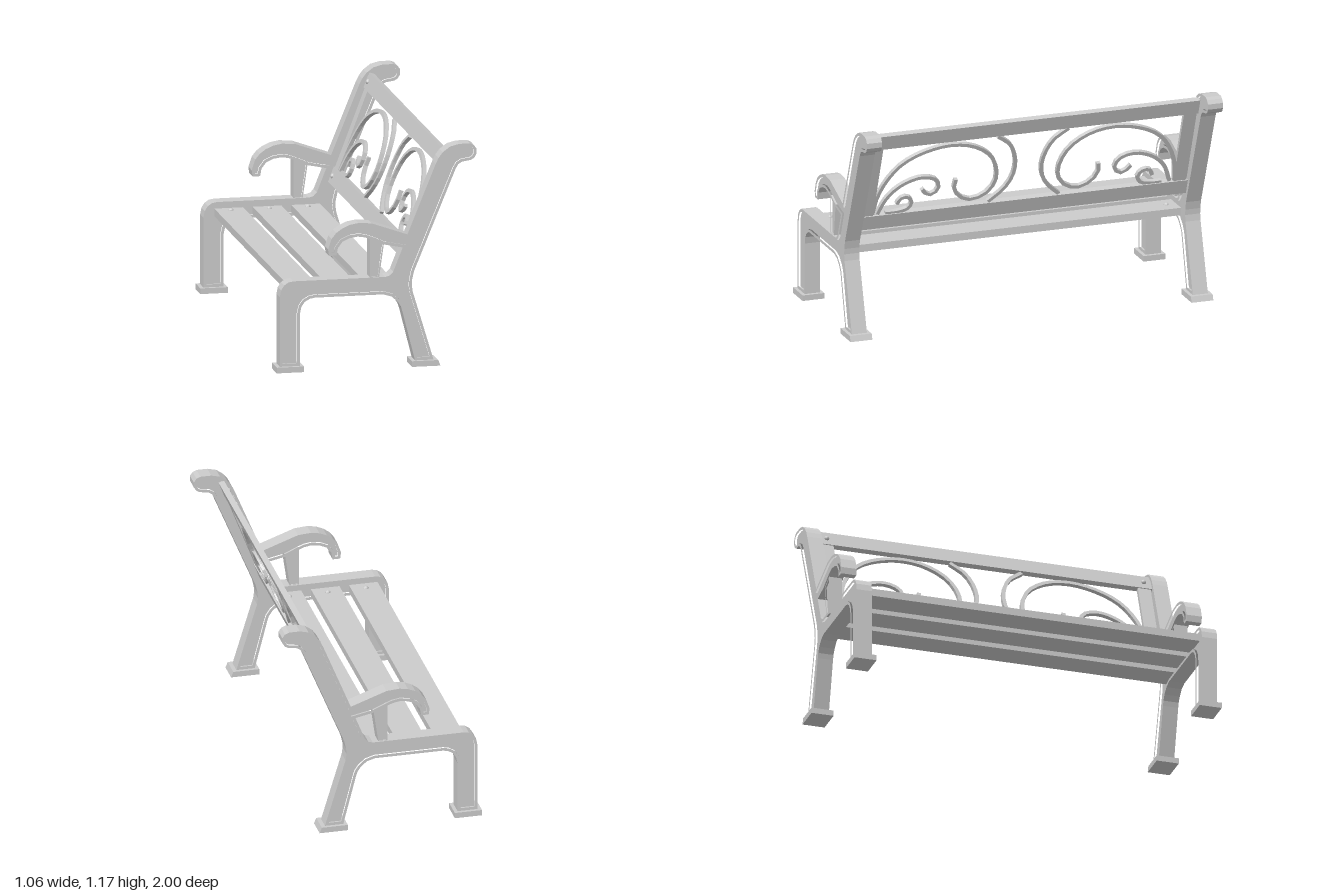
import * as THREE from 'three';

const mat = new THREE.MeshStandardMaterial({ color: 0xcccccc, flatShading: true });
const V = (p) => new THREE.Vector2(p[0], p[1]);

function add(parent, name, geo, x = 0, y = 0, z = 0) {
  const m = new THREE.Mesh(geo, mat);
  m.name = name;
  m.position.set(x, y, z);
  parent.add(m);
  return m;
}

// Extrusion centred on z = 0
function slab(shape, depth) {
  const g = new THREE.ExtrudeGeometry(shape, { depth, bevelEnabled: false });
  return g.translate(0, 0, -depth / 2);
}

// Mitred inset of a closed clockwise outline
function inset(pts, d) {
  return pts.map((p, i) => {
    const a = pts[(i + pts.length - 1) % pts.length], b = pts[(i + 1) % pts.length];
    const e1 = p.clone().sub(a).normalize(), e2 = b.clone().sub(p).normalize();
    const n1 = new THREE.Vector2(e1.y, -e1.x), n2 = new THREE.Vector2(e2.y, -e2.x);
    const k = d / Math.max(0.35, 1 + n1.dot(n2));
    return p.clone().addScaledVector(n1.add(n2), k);
  });
}

// Raised rim around a recessed panel, on both faces
function rimmed(parent, name, outline, depth, rim, recess) {
  const pts = outline.map(V), inner = inset(pts, rim);
  const shape = new THREE.Shape(pts);
  shape.holes.push(new THREE.Path(inner));
  add(parent, name + 'Rim', slab(shape, depth));
  add(parent, name + 'Panel', slab(new THREE.Shape(inner), depth - 2 * recess));
}

// Cast side frame: front leg, seat rail, armrest, back post and rear leg, clockwise
const frameOutline = [
  [-0.51, 0.03], [-0.51, 0.4], [-0.503, 0.435], [-0.487, 0.46], [-0.465, 0.475], [-0.437, 0.48],
  [0.048, 0.48], [0.072, 0.487], [0.09, 0.506], [0.14, 0.632],
  [0.042, 0.652], [-0.026, 0.682], [-0.06, 0.695], [-0.097, 0.701], [-0.14, 0.695], [-0.178, 0.678],
  [-0.203, 0.645], [-0.21, 0.606], [-0.25, 0.606], [-0.255, 0.64], [-0.236, 0.695], [-0.212, 0.725],
  [-0.18, 0.748], [-0.14, 0.765], [-0.095, 0.773], [-0.026, 0.768], [0.165, 0.7],
  [0.314, 1.066], [0.33, 1.098], [0.352, 1.127], [0.39, 1.155], [0.437, 1.167], [0.495, 1.167],
  [0.516, 1.158], [0.53, 1.138], [0.53, 1.11], [0.518, 1.09], [0.5, 1.079], [0.453, 1.072], [0.434, 1.06],
  [0.42, 1.037], [0.2, 0.504], [0.19, 0.46], [0.188, 0.43], [0.193, 0.395], [0.303, 0.03],
  [0.205, 0.03], [0.138, 0.294], [0.13, 0.32], [0.112, 0.347], [0.08, 0.375], [0.036, 0.388],
  [-0.326, 0.388], [-0.352, 0.383], [-0.378, 0.368], [-0.396, 0.342], [-0.404, 0.305], [-0.404, 0.03],
];
const supportOutline = [[-0.032, 0.475], [-0.032, 0.684], [0.042, 0.655], [0.016, 0.475]];
const frontFoot = [[-0.53, 0], [-0.53, 0.03], [-0.385, 0.03], [-0.385, 0]];
const rearFoot = [[0.185, 0], [0.185, 0.03], [0.324, 0.03], [0.336, 0]];

function sideFrame(name, z) {
  const g = new THREE.Group();
  g.name = name;
  g.position.z = z;
  rimmed(g, 'frame', frameOutline, 0.083, 0.015, 0.01);
  rimmed(g, 'armSupport', supportOutline, 0.07, 0.007, 0.008);
  for (const [n, o] of [['frontFoot', frontFoot], ['rearFoot', rearFoot]]) {
    add(g, n, slab(new THREE.Shape(o.map(V)), 0.12));
  }
  return g;
}

const screwHead = () => new THREE.SphereGeometry(0.014, 10, 4, 0, Math.PI * 2, 0, Math.PI / 2);

// Scroll paths as [z, height]
const scrolls = {
  largeScroll: [[0.832, 0.636], [0.82, 0.738], [0.783, 0.834], [0.714, 0.925], [0.612, 0.984], [0.463, 1.016],
    [0.329, 0.995], [0.222, 0.925], [0.174, 0.829], [0.174, 0.754], [0.211, 0.695], [0.291, 0.663],
    [0.366, 0.695], [0.398, 0.754], [0.393, 0.797]],
  centreCurve: [[0.195, 1.037], [0.12, 0.979], [0.078, 0.882], [0.078, 0.791], [0.115, 0.711], [0.195, 0.636]],
  middleScroll: [[0.805, 0.636], [0.767, 0.727], [0.698, 0.797], [0.596, 0.834], [0.516, 0.818], [0.484, 0.775],
    [0.5, 0.733], [0.537, 0.722], [0.575, 0.759]],
  smallScroll: [[0.76, 0.636], [0.7, 0.636], [0.639, 0.652], [0.623, 0.69], [0.65, 0.722], [0.687, 0.717],
    [0.703, 0.685]],
};

// Leaning backrest, built flat: local x runs along the bench, y up the slope, z towards the sitter
function backrest() {
  const g = new THREE.Group(), ux = 0.356, uy = 0.934, baseY = 0.592;
  g.name = 'backrest';
  const basis = new THREE.Matrix4().makeBasis(
    new THREE.Vector3(0, 0, 1), new THREE.Vector3(ux, uy, 0), new THREE.Vector3(-uy, ux, 0));
  g.quaternion.setFromRotationMatrix(basis);
  g.position.set(0.18, baseY, 0);
  for (const [name, y] of [['lowerRail', 0], ['topRail', 0.526]]) {
    add(g, name, new THREE.BoxGeometry(1.81, 0.085, 0.03), 0, y, 0);
    for (const s of [-1, 1]) add(g, 'railScrew', screwHead().rotateX(Math.PI / 2), s * 0.862, y, 0.014);
  }
  const bar = new THREE.Shape([[-0.01, -0.01], [0.01, -0.01], [0.01, 0.01], [-0.01, 0.01]].map(V));
  for (const s of [-1, 1]) {
    add(g, 'endPlate', new THREE.BoxGeometry(0.07, 0.45, 0.02), s * 0.863, 0.263, 0);
    for (const [name, pts] of Object.entries(scrolls)) {
      const path = new THREE.CatmullRomCurve3(
        pts.map(([z, y]) => new THREE.Vector3(s * z, (y - baseY) / uy, 0)));
      add(g, name, new THREE.ExtrudeGeometry(bar, {
        steps: pts.length * 2, extrudePath: path, bevelEnabled: false }));
    }
  }
  return g;
}

export function createModel() {
  const bench = new THREE.Group();
  bench.name = 'bench';
  bench.add(sideFrame('leftFrame', 0.939), sideFrame('rightFrame', -0.939), backrest());

  // Seat slats with a screw at each end
  for (const x of [-0.375, -0.172, 0.032]) {
    add(bench, 'seatSlat', new THREE.BoxGeometry(0.152, 0.04, 1.81), x, 0.424, 0);
    for (const s of [-1, 1]) add(bench, 'slatScrew', screwHead(), x, 0.442, s * 0.85);
  }
  return bench;
}
